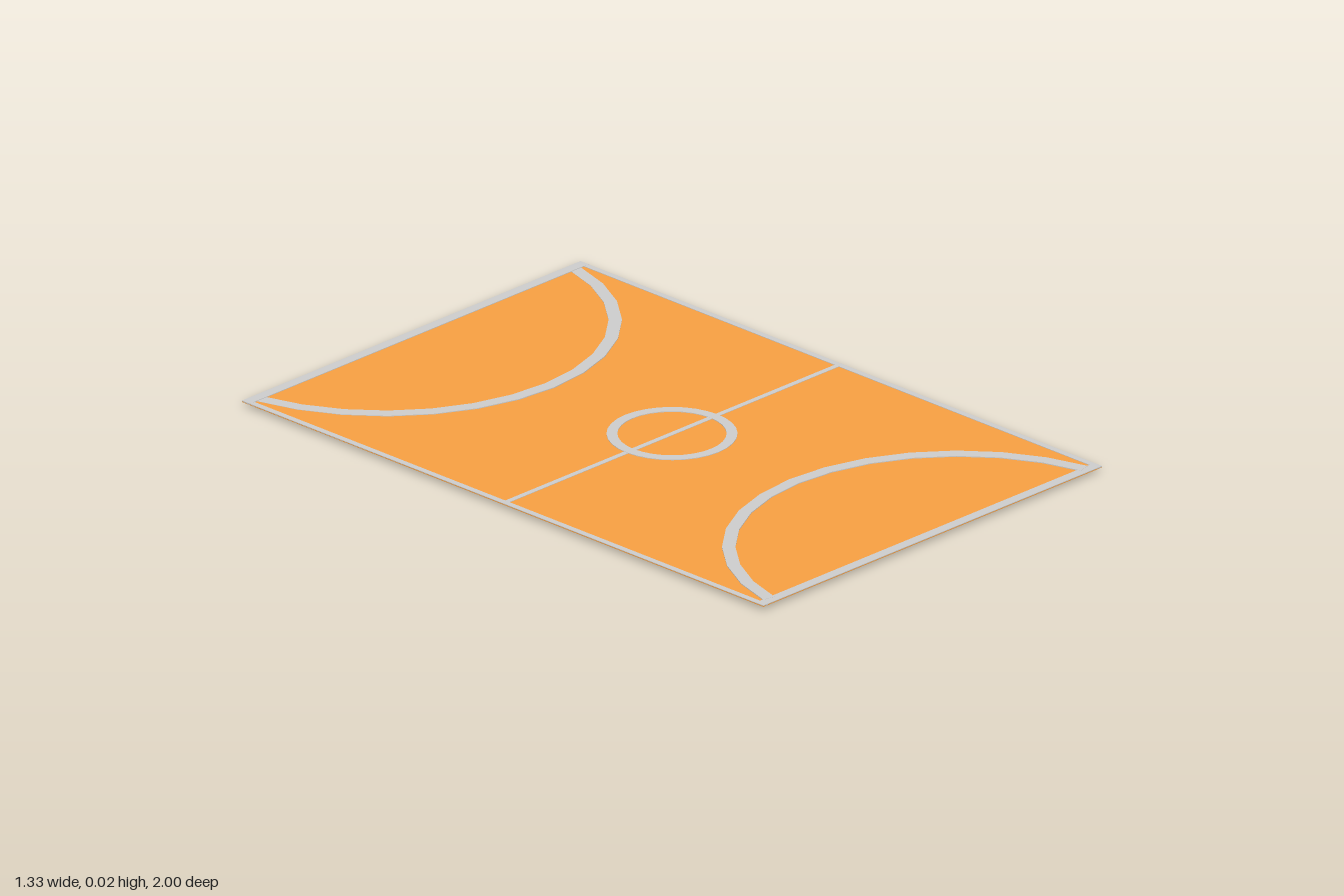
import * as THREE from 'three';

const HALF_W = 0.665, HALF_L = 1, TOP = 0.0165;
const SEG = Math.PI / 16; // arcs follow a 32-sided circle

export function createModel() {
  const group = new THREE.Group();
  const orange = new THREE.MeshStandardMaterial({ color: 0xf69f42, flatShading: true });
  const grey = new THREE.MeshStandardMaterial({ color: 0xcccccc, flatShading: true });

  const add = (name, geometry, material) => {
    const mesh = new THREE.Mesh(geometry, material);
    mesh.name = name;
    group.add(mesh);
    return mesh;
  };
  // Box lying flat between two heights
  const slab = (name, w, l, x, z, y0, y1, material) =>
    add(name, new THREE.BoxGeometry(w, y1 - y0, l).translate(x, (y0 + y1) / 2, z), material);

  const circlePoints = (r, first, count) => Array.from({ length: count }, (_, i) =>
    new THREE.Vector2(r * Math.cos((first + i) * SEG), r * Math.sin((first + i) * SEG)));
  // Flat shape extruded upwards from y0 to y1
  const raise = (shape, y0, y1) =>
    new THREE.ExtrudeGeometry(shape, { depth: y1 - y0, bevelEnabled: false })
      .rotateX(-Math.PI / 2).translate(0, y0, 0);

  // Playing surface
  slab('courtFloor', HALF_W * 2, HALF_L * 2, 0, 0, 0.012, 0.0145, orange);

  // Border and halfway lines
  for (const s of [1, -1]) {
    slab(s > 0 ? 'leftSideline' : 'rightSideline', 0.018, HALF_L * 2, s * (HALF_W - 0.009), 0, 0.013, TOP - 0.0003, grey);
    slab(s > 0 ? 'frontEndLine' : 'backEndLine', HALF_W * 2, 0.03, 0, s * (HALF_L - 0.015), 0.013, TOP, grey);
  }
  slab('halfwayLine', HALF_W * 2 - 0.03, 0.016, 0, 0, 0.011, TOP - 0.0005, grey);

  // Centre circle, a deeper ring that reaches below the floor
  const ring = new THREE.Shape(circlePoints(0.18, 0, 32));
  ring.holes.push(new THREE.Path(circlePoints(0.15, 0, 32)));
  add('centreCircle', raise(ring, 0, TOP), grey);

  // Goal arcs, centred just beyond each end
  for (const s of [1, -1]) {
    const outline = [...circlePoints(0.65, 1, 15), ...circlePoints(0.613, 1, 15).reverse()];
    const geometry = raise(new THREE.Shape(outline), 0.0125, 0.017);
    if (s < 0) geometry.rotateY(Math.PI);
    geometry.translate(0, 0, s * 1.1);
    if (s < 0) {
      // The back arc dips slightly towards its ends
      const p = geometry.attributes.position;
      for (let i = 0; i < p.count; i++) p.setY(i, p.getY(i) + 0.004 * (p.getZ(i) + 0.47));
    }
    add(s > 0 ? 'frontGoalArc' : 'backGoalArc', geometry, grey);
  }
  return group;
}
